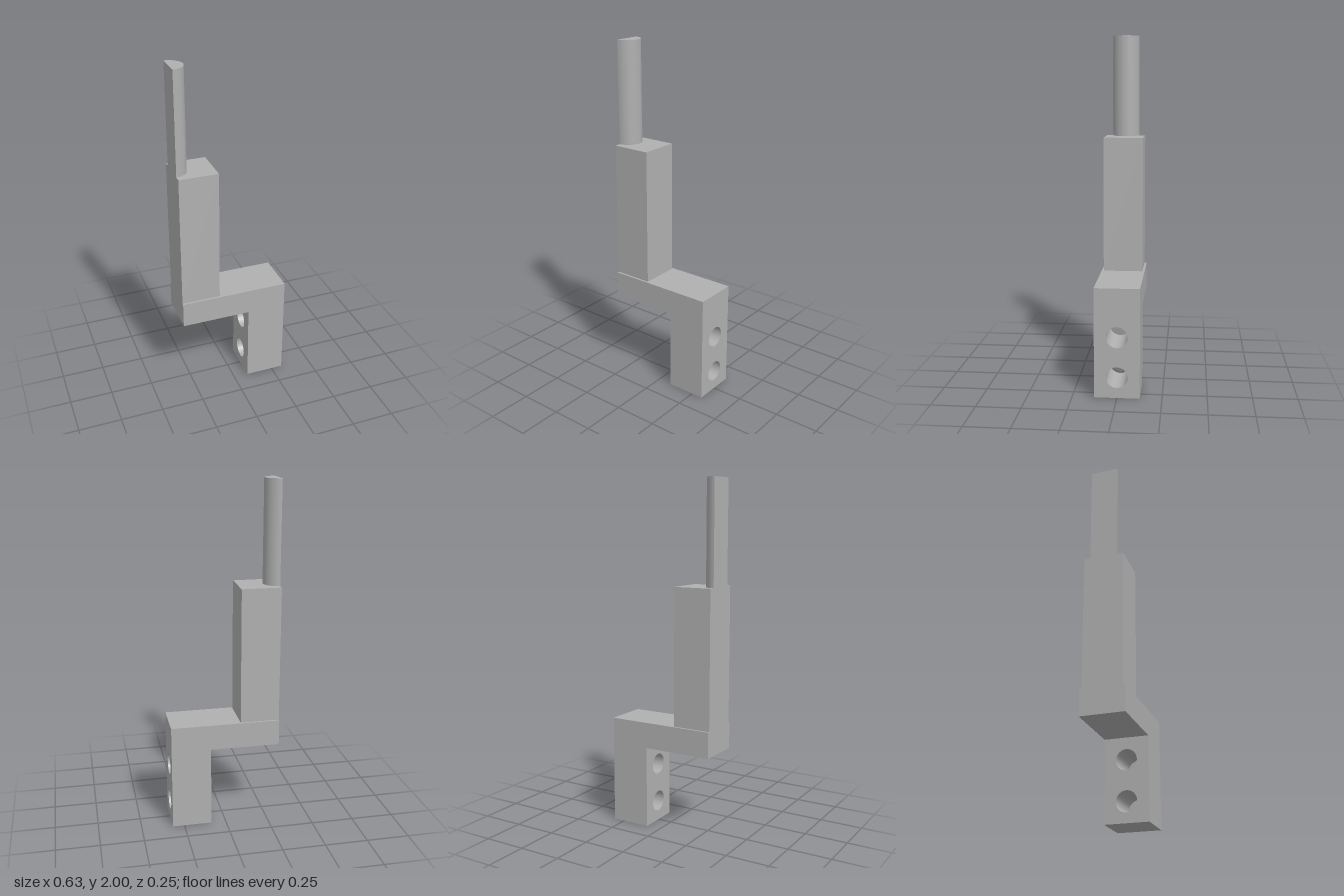
import * as THREE from 'three';
import { toCreasedNormals } from 'three/addons/utils/BufferGeometryUtils.js';

const LEFT = -0.317, RIGHT = 0.317;

export function createModel() {
  const model = new THREE.Group();
  model.name = 'steppedBracket';
  const metal = new THREE.MeshStandardMaterial({ color: 0xb0b0b0 });
  metal.name = 'grey metal';

  const add = (name, geometry) => {
    const mesh = new THREE.Mesh(geometry, metal);
    mesh.name = name;
    model.add(mesh);
  };
  const block = (x0, x1, y0, y1, depth) =>
    new THREE.BoxGeometry(x1 - x0, y1 - y0, depth)
      .translate((x0 + x1) / 2, (y0 + y1) / 2, 0);
  const extrude = (shape, depth) =>
    new THREE.ExtrudeGeometry(shape, { depth, bevelEnabled: false, curveSegments: 32 });

  // Mounting leg, drilled through along x
  const legX = 0.087, halfDepth = 0.127, armTop = 0.625;
  const leg = new THREE.Shape();
  leg.moveTo(-halfDepth, 0).lineTo(halfDepth, 0);
  leg.lineTo(halfDepth, armTop).lineTo(-halfDepth, armTop).closePath();
  for (const y of [0.118, 0.348]) {
    leg.holes.push(new THREE.Path().absarc(0, y, 0.06, 0, Math.PI * 2, true));
  }
  add('mountingLeg', toCreasedNormals(
    extrude(leg, RIGHT - legX).rotateY(Math.PI / 2).translate(legX, 0, 0), 0.5));

  // Horizontal arm meeting the top of the leg
  add('arm', block(LEFT, legX, 0.475, armTop, halfDepth * 2));

  // Upright block on the arm
  const blockTop = 1.413;
  add('uprightBlock', block(LEFT, -0.09, armTop, blockTop, 0.23));

  // Half-round pin, flat side flush with the block
  const halfDisc = new THREE.Shape();
  halfDisc.absarc(0, 0, 0.079, -Math.PI / 2, Math.PI / 2, false).closePath();
  add('halfRoundPin', toCreasedNormals(
    extrude(halfDisc, 2 - blockTop).rotateX(-Math.PI / 2).translate(LEFT, blockTop, 0), 0.5));

  return model;
}
